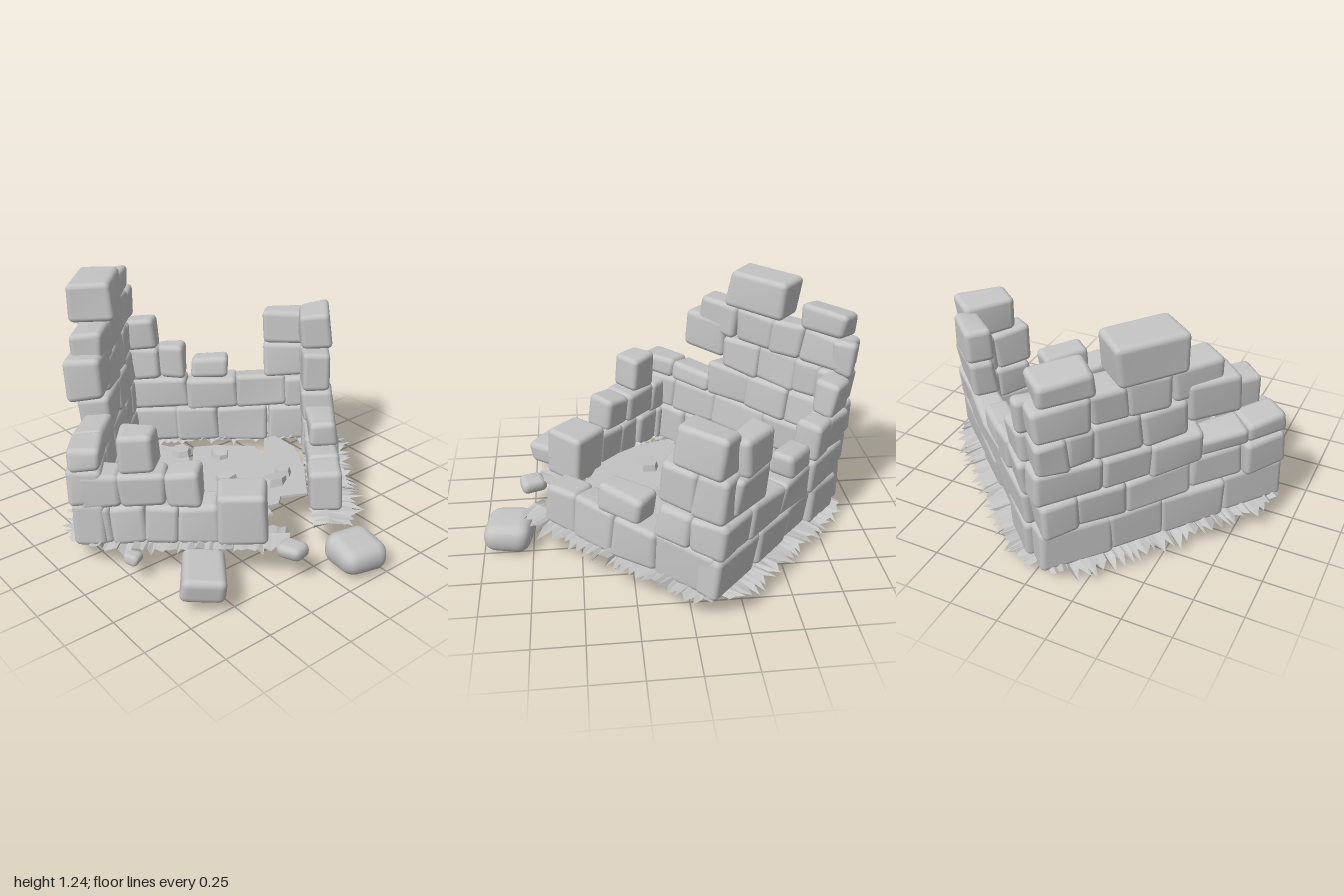
import * as THREE from 'three';
import { mergeVertices } from 'three/addons/utils/BufferGeometryUtils.js';
import { RoundedBoxGeometry } from 'three/addons/geometries/RoundedBoxGeometry.js';

let seed = 7;
const rand = () => (seed = (seed * 16807) % 2147483647) / 2147483647;
const jit = (a) => (rand() - 0.5) * 2 * a;

const stone = new THREE.MeshStandardMaterial({ color: 0xc4c4c4, side: THREE.DoubleSide });
stone.name = 'grey stone';

function add(parent, name, geometry) {
  const mesh = new THREE.Mesh(geometry, stone);
  mesh.name = name;
  parent.add(mesh);
  return mesh;
}

// Worn block: rounded box whose eight corners are nudged
function blockGeometry(w, h, d, wear = 0.013, round = 0.03) {
  let g = new RoundedBoxGeometry(w, h, d, 3, Math.min(round, w * 0.45, h * 0.45, d * 0.45));
  g.deleteAttribute('uv');
  g.deleteAttribute('normal');
  g = mergeVertices(g, 1e-4);
  const corner = Array.from({ length: 8 }, () => [jit(wear), jit(wear), jit(wear)]);
  const p = g.attributes.position;
  for (let i = 0; i < p.count; i++) {
    const v = [p.getX(i), p.getY(i), p.getZ(i)];
    const f = [v[0] / w + 0.5, v[1] / h + 0.5, v[2] / d + 0.5];
    for (let c = 0; c < 8; c++) {
      const k = [0, 1, 2].reduce((m, a) => m * ((c >> a) & 1 ? f[a] : 1 - f[a]), 1);
      for (let a = 0; a < 3; a++) v[a] += corner[c][a] * k;
    }
    p.setXYZ(i, ...v);
  }
  g.computeVertexNormals();
  return g;
}

// Wall centre lines run between these points, [x, z]
const L = [-0.84, 0.06], B = [-0.03, -0.86], R = [0.82, -0.12];
const L2 = [-0.8, 0.02], FL = [-0.17, 0.61], FR = [0.19, 0.64];
const B2 = [-0.03, -0.85], R2 = [0.82, -0.09];

// Each row: bottom, top, x positions of the joints, optional extra thickness
const walls = [
  { name: 'leftBackWall', a: L, b: B, thick: 0.165, rows: [
    [0, 0.215, [-0.86, -0.64, -0.42, -0.24, -0.01]],
    [0.215, 0.4, [-0.86, -0.7, -0.52, -0.3, -0.14, -0.02]],
    [0.4, 0.5, [-0.86, -0.72, -0.55]],
    [0.4, 0.585, [-0.56, -0.38, -0.22, -0.01]],
    [0.645, 0.845, [-0.68, -0.51], 0.03],
    [0.585, 0.77, [-0.51, -0.36, -0.21, -0.12, -0.02]],
    [0.77, 0.95, [-0.62, -0.46, -0.32, -0.2, -0.02]],
    [0.95, 1.16, [-0.505, -0.285], 0.045],
    [0.95, 1.075, [-0.215, -0.05]] ] },
  { name: 'rightBackWall', a: B2, b: R2, thick: 0.14, rows: [
    [0, 0.215, [0, 0.2, 0.38, 0.6, 0.86]],
    [0.215, 0.4, [0, 0.25, 0.47, 0.68, 0.85]],
    [0.4, 0.585, [0, 0.14, 0.25]],
    [0.4, 0.51, [0.28, 0.43]],
    [0.585, 0.77, [0, 0.13]],
    [0.77, 0.95, [-0.02, 0.03]],
    [0.4, 0.6, [0.6, 0.8]],
    [0.6, 0.78, [0.6, 0.77]] ] },
  { name: 'rightFrontWall', a: FR, b: R, thick: 0.165, rows: [
    [0, 0.22, [0.19, 0.31, 0.46, 0.62, 0.83]],
    [0.22, 0.345, [0.39, 0.55], -0.01],
    [0.21, 0.39, [0.61, 0.73, 0.84]],
    [0.39, 0.61, [0.6, 0.73, 0.83]],
    [0.61, 0.82, [0.65, 0.82], 0.01] ] },
  { name: 'leftFrontWall', a: L2, b: FL, thick: 0.17, rows: [
    [0, 0.2, [-0.82, -0.72, -0.6, -0.48, -0.34]],
    [0, 0.26, [-0.34, -0.17], 0.04],
    [0.2, 0.375, [-0.82, -0.68, -0.52, -0.4]],
    [0.375, 0.575, [-0.68, -0.55]] ] },
];

function buildWall({ name, a, b, thick, rows }) {
  const wall = new THREE.Group();
  wall.name = name;
  const slope = (b[1] - a[1]) / (b[0] - a[0]);
  for (const [y0, y1, joints, extra = 0] of rows) {
    for (let i = 0; i + 1 < joints.length; i++) {
      const x = (joints[i] + joints[i + 1]) / 2;
      const length = (joints[i + 1] - joints[i]) * Math.hypot(1, slope);
      const g = blockGeometry(length + 0.008, y1 - y0 + 0.006, thick + extra + jit(0.012));
      const m = add(wall, 'wallBlock', g);
      m.position.set(x + jit(0.006), (y0 + y1) / 2, a[1] + (x - a[0]) * slope + jit(0.006));
      m.rotation.y = -Math.atan(slope) + jit(0.03);
    }
  }
  return wall;
}

// Spiky turf strip under a wall: inner edge, middle, outer edge per step
function turf(a, b, startExtra, endExtra, inner, reach) {
  const along = new THREE.Vector2(b[0] - a[0], b[1] - a[1]);
  const length = along.length();
  along.normalize();
  const side = new THREE.Vector2(-along.y, along.x);
  const mid = [(a[0] + b[0]) / 2, (a[1] + b[1]) / 2];
  if (side.x * mid[0] + side.y * (mid[1] + 0.12) < 0) side.negate();
  // corner order that keeps the top side as the front
  const upward = along.x * side.y - along.y * side.x < 0;
  const steps = Math.round((length + startExtra + endExtra) / 0.022);
  const pos = [], idx = [];
  for (let i = 0; i <= steps; i++) {
    const u = i / steps;
    const s = -startExtra + u * (length + startExtra + endExtra);
    const tip = i % 2;
    const spread = Math.min(1, 0.2 + u * 6, 0.2 + (1 - u) * 6);
    const outer = 0.085 + spread * (0.04 + tip * (0.3 + 0.7 * rand()) * reach);
    [-inner - tip * rand() * 0.025, 0, outer].forEach((o, k) => {
      const t = s + (k === 2 ? jit(0.014) : 0);
      const y = k === 1 ? 0.015 : tip ? jit(0.03) : 0.004;
      pos.push(a[0] + along.x * t + side.x * o, y, a[1] + along.y * t + side.y * o);
    });
    if (i < steps) {
      for (const q of [i * 3, i * 3 + 1]) {
        if (upward) idx.push(q, q + 1, q + 3, q + 1, q + 4, q + 3);
        else idx.push(q, q + 3, q + 1, q + 1, q + 3, q + 4);
      }
    }
  }
  const g = new THREE.BufferGeometry();
  g.setAttribute('position', new THREE.Float32BufferAttribute(pos, 3));
  g.setIndex(idx);
  const flat = g.toNonIndexed();
  flat.computeVertexNormals();
  return flat;
}

export function createModel() {
  seed = 7;
  const model = new THREE.Group();
  model.name = 'ruinedStoneHouse';

  // Everything stands on ground that falls gently toward the back
  const ruin = new THREE.Group();
  ruin.name = 'ruin';
  ruin.position.y = 0.112;
  ruin.rotation.x = -0.088;
  model.add(ruin);

  for (const w of walls) ruin.add(buildWall(w));
  [[L, B, 0, 0, 0.12, 0.085], [B2, R2, 0, 0.02, 0.075, 0.07],
    [FR, R, 0.13, 0.02, 0.075, 0.085], [L2, FL, 0.02, 0.1, 0.085, 0.04]]
    .forEach((t) => add(ruin, 'turfEdge', turf(...t)));

  // Broken floor slab
  const outline = [[-0.58, 0], [-0.42, -0.22], [-0.22, -0.42], [-0.16, -0.62], [-0.02, -0.68], [0.03, -0.52],
    [0.12, -0.42], [0.03, -0.32], [-0.02, -0.23], [0.02, -0.27], [0.13, -0.41], [0.24, -0.34], [0.39, -0.17],
    [0.36, -0.05], [0.5, -0.21], [0.57, -0.2], [0.55, 0], [0.42, 0.22], [0.22, 0.46], [0.1, 0.39], [0.04, 0.44],
    [-0.02, 0.42], [-0.05, 0.5], [-0.14, 0.44], [-0.32, 0.38], [-0.5, 0.16]];
  const slab = new THREE.Shape(outline.map(([x, z]) => new THREE.Vector2(x, -z)));
  const floor = add(ruin, 'floor', new THREE.ExtrudeGeometry(slab, { depth: 0.014, bevelEnabled: false }));
  floor.rotation.x = -Math.PI / 2;
  floor.position.y = 0.018;

  // Flat stones lying on the floor: x, z, radius
  [[-0.35, -0.16, 0.065], [-0.23, -0.22, 0.08], [0.03, -0.39, 0.075], [0.17, -0.21, 0.07], [0.01, 0.05, 0.065],
    [-0.26, 0.13, 0.08], [0.18, 0.25, 0.08], [0.28, 0.2, 0.065], [0.01, 0.32, 0.05]].forEach(([x, z, r]) => {
    const m = add(ruin, 'floorStone', new THREE.CylinderGeometry(r * 0.85, r, 0.04, 6).toNonIndexed());
    m.geometry.computeVertexNormals();
    m.position.set(x, 0.044, z);
    m.scale.z = 0.75;
    m.rotation.set(jit(0.15), rand() * 3, jit(0.15));
  });

  // Fallen blocks outside: size, position, turn, rounding
  [[[0.3, 0.125, 0.21], [-0.565, 0.12, 0.605], 0.9, 0.035],
    [[0.26, 0.155, 0.25], [0.165, 0.078, 0.87], -0.2, 0.068],
    [[0.11, 0.08, 0.14], [-0.15, 0.15, 0.75], 0.3, 0.035],
    [[0.08, 0.05, 0.06], [-0.75, 0.12, 0.29], 0.5, 0.02]].forEach(([size, p, turn, round]) => {
    const m = add(model, 'fallenBlock', blockGeometry(...size, 0.014, round));
    m.position.set(...p);
    m.rotation.y = turn;
  });
  return model;
}
